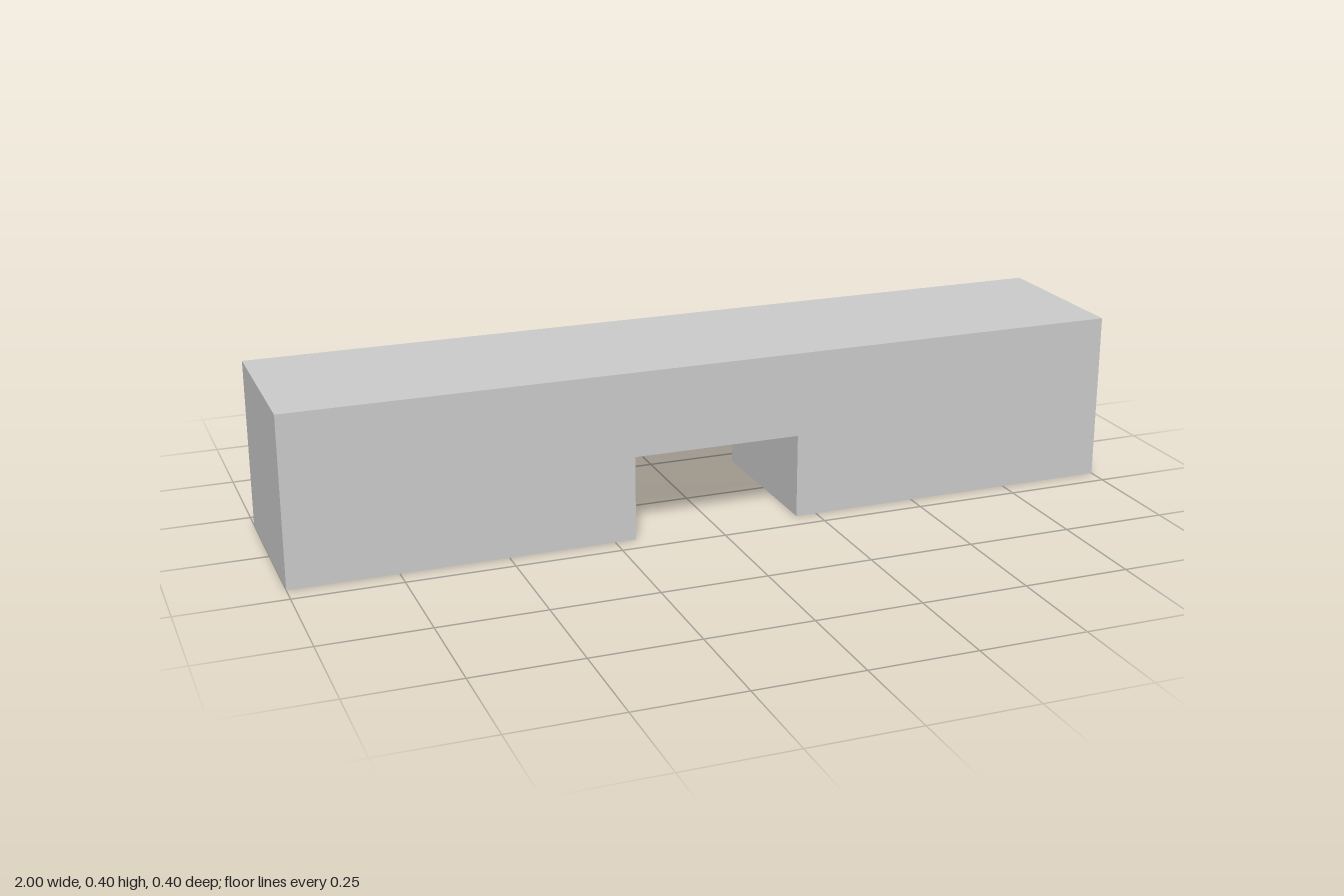
import * as THREE from 'three';

const LENGTH = 2, HEIGHT = 0.4, DEPTH = 0.4;
const NOTCH_WIDTH = 0.4, NOTCH_HEIGHT = 0.2;

export function createModel() {
  const group = new THREE.Group();
  group.name = 'notchedBeam';

  // Beam outline with a rectangular notch in the underside
  const l = LENGTH / 2, n = NOTCH_WIDTH / 2;
  const outline = new THREE.Shape([
    [-l, 0], [-n, 0], [-n, NOTCH_HEIGHT], [n, NOTCH_HEIGHT],
    [n, 0], [l, 0], [l, HEIGHT], [-l, HEIGHT],
  ].map(([x, y]) => new THREE.Vector2(x, y)));

  // Extruded front to back and centred on z
  const geometry = new THREE.ExtrudeGeometry(outline, { depth: DEPTH, bevelEnabled: false });
  geometry.translate(0, 0, -DEPTH / 2);

  const material = new THREE.MeshStandardMaterial({ color: 0xcccccc, flatShading: true });
  const beam = new THREE.Mesh(geometry, material);
  beam.name = 'beam';
  group.add(beam);
  return group;
}
